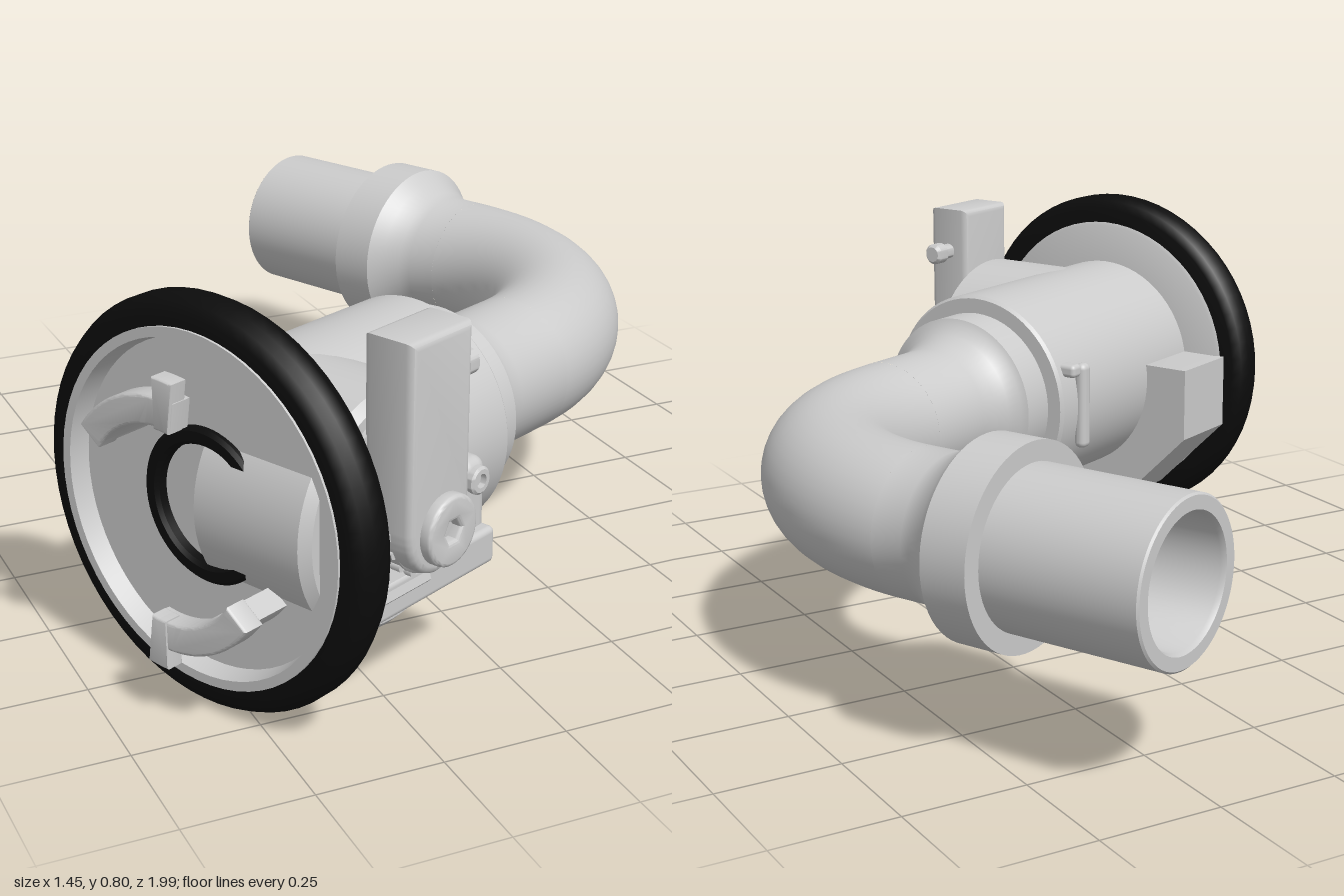
import * as THREE from 'three';
import { toCreasedNormals } from 'three/addons/utils/BufferGeometryUtils.js';
import { RoundedBoxGeometry } from 'three/addons/geometries/RoundedBoxGeometry.js';

const grey = new THREE.MeshStandardMaterial({ color: 0xcccccc });
const black = new THREE.MeshStandardMaterial({ color: 0x0c0c0c });

// The model is laid out along +x (inlet to elbow), the outlet leaves along -z.
export function createModel() {
  const model = new THREE.Group();
  const body = new THREE.Group();
  body.name = 'coupling';
  body.position.set(-0.535, 0.4, 0.62);
  body.rotation.y = 0.43;
  model.add(body);

  const add = (name, geometry, material = grey, x = 0, y = 0, z = 0) => {
    const mesh = new THREE.Mesh(geometry, material);
    mesh.name = name;
    mesh.position.set(x, y, z);
    body.add(mesh);
    return mesh;
  };
  // Turned part: points are [radius, distance along the axis]
  const lathe = (pts) => toCreasedNormals(
    new THREE.LatheGeometry(pts.map(([r, h]) => new THREE.Vector2(r, h)), 64), 0.6);
  const turnedX = (pts) => lathe(pts).rotateZ(-Math.PI / 2);
  const turnedBack = (pts) => lathe(pts).rotateX(-Math.PI / 2);
  const turnedFront = (pts) => lathe(pts).rotateX(Math.PI / 2);
  const extrude = (shape, depth, bevel = 0) => toCreasedNormals(new THREE.ExtrudeGeometry(shape, {
    depth, curveSegments: 20, bevelEnabled: bevel > 0,
    bevelSize: bevel, bevelThickness: bevel, bevelSegments: 3,
  }), 0.6);
  // Extrusion along x; the shape is drawn in (-z, y)
  const extrudeX = (shape, depth, bevel) => extrude(shape, depth, bevel).rotateY(Math.PI / 2);

  // Rubber ring around the inlet
  add('sealRing', turnedX([
    [0.345, -0.045], [0.37, -0.045], [0.39, -0.034], [0.4, -0.015], [0.4, 0.015],
    [0.39, 0.034], [0.37, 0.045], [0.3, 0.045], [0.3, 0.03], [0.345, 0.03], [0.345, -0.045],
  ].map(([r, h]) => [r, h])), black);

  // Inlet face: raised rim, recessed plate, central seal and valve disc
  add('inletFace', turnedX([
    [0.14, 0.05], [0.14, -0.01], [0.318, -0.01], [0.326, -0.05], [0.345, -0.05],
    [0.345, 0.04], [0.33, 0.05], [0.14, 0.05],
  ]));
  add('inletSeal', turnedX([
    [0.118, 0.03], [0.118, -0.018], [0.125, -0.025], [0.145, -0.025], [0.152, -0.018], [0.152, 0.03],
  ]), black);
  add('valveDisc', turnedX([[0, 0.0], [0.122, 0.0], [0.122, 0.04], [0, 0.04]]));

  // Two opposite hooked locking lugs
  const sector = (a, b, r0, r1) => {
    const s = new THREE.Shape();
    s.absarc(0, 0, r1, a, b, false);
    s.absarc(0, 0, r0, b, a, true);
    s.closePath();
    return s;
  };
  for (const turn of [0, Math.PI]) {
    const hook = add('lugHook', extrudeX(sector(0.63, 1.7, 0.195, 0.24), 0.036, 0.006), grey, -0.125);
    const post = add('lugPost', extrudeX(sector(0.63, 1.15, 0.19, 0.235), 0.11), grey, -0.11);
    const lip = add('lugLip', extrudeX(sector(1.55, 1.7, 0.19, 0.28), 0.03, 0.004), grey, -0.13);
    for (const m of [hook, post, lip]) m.rotation.x = turn;
  }

  // Main barrel
  add('barrel', turnedX([
    [0, 0.03], [0.24, 0.03], [0.24, 0.572], [0.234, 0.58], [0, 0.58],
  ]));
  add('barrelKey', new RoundedBoxGeometry(0.035, 0.2, 0.03, 3, 0.014), grey, 0.5, 0, -0.24);
  add('barrelNotch', new RoundedBoxGeometry(0.035, 0.03, 0.09, 3, 0.01), grey, 0.54, 0.09, -0.21);

  // Lower mounting plate behind the ring, with a bolt hole
  const plate = new THREE.Shape();
  [[0.346, 0.04], [0.2, 0.04], [-0.2, 0.0], [-0.3, -0.03], [-0.33, -0.13],
    [-0.17, -0.305], [0.17, -0.305], [0.346, -0.13]]
    .forEach(([x, y], i) => (i ? plate.lineTo(x, y) : plate.moveTo(x, y)));
  plate.closePath();
  const hole = new THREE.Path();
  hole.absarc(-0.19, -0.225, 0.034, 0, Math.PI * 2, true);
  plate.holes.push(hole);
  add('mountingPlate', extrudeX(plate, 0.19), grey, 0.035);

  // Valve housing on the side: round boss, ledge and screw
  add('valveHousing', turnedFront([
    [0, 0], [0.238, 0], [0.238, 0.25], [0.22, 0.268], [0.2, 0.268], [0.2, 0.28], [0, 0.28],
  ]), grey, 0.19);
  add('housingLedge', new RoundedBoxGeometry(0.38, 0.075, 0.33, 3, 0.012), grey, 0.235, -0.135, 0.16);
  add('housingEar', new RoundedBoxGeometry(0.07, 0.19, 0.2, 3, 0.025), grey, 0.395, -0.055, 0.2);
  add('earScrew', turnedFront([
    [0.014, -0.01], [0.028, -0.01], [0.028, 0.008], [0.023, 0.012], [0.014, 0.012], [0.014, -0.01],
  ]), grey, 0.395, 0, 0.3);

  // Handle with its pivot knob and stop pin
  const handle = new THREE.Shape();
  handle.moveTo(0.115, 0.355);
  handle.lineTo(0.255, 0.355);
  handle.lineTo(0.255, 0.05);
  handle.quadraticCurveTo(0.255, -0.07, 0.18, -0.07);
  handle.quadraticCurveTo(0.115, -0.06, 0.115, 0.02);
  handle.closePath();
  add('handle', extrude(handle, 0.08, 0.015), grey, 0, 0, 0.285);
  add('handlePin', turnedX([
    [0, 0], [0.018, 0], [0.018, 0.05], [0.025, 0.052], [0.025, 0.078], [0.018, 0.086], [0, 0.086],
  ]), grey, 0.25, 0.265, 0.325);
  add('knobBase', turnedFront([
    [0, 0], [0.1, 0], [0.1, 0.075], [0.085, 0.09], [0, 0.09],
  ]), grey, 0.205, 0, 0.265);
  for (let i = 0; i < 16; i++) {
    const a = i / 16 * Math.PI * 2;
    add('knobRib', new THREE.CylinderGeometry(0.009, 0.009, 0.06, 8).rotateX(Math.PI / 2),
      grey, 0.205 + Math.cos(a) * 0.1, Math.sin(a) * 0.1, 0.305);
  }
  const cap = new THREE.Shape();
  cap.absarc(0, 0, 0.06, 0, Math.PI * 2, false);
  const hex = new THREE.Path();
  for (let i = 0; i < 6; i++) {
    const a = -i * Math.PI / 3;
    if (i) hex.lineTo(Math.cos(a) * 0.032, Math.sin(a) * 0.032);
    else hex.moveTo(0.032, 0);
  }
  hex.closePath();
  cap.holes.push(hex);
  add('pivotBolt', extrude(cap, 0.02, 0.008), grey, 0.195, 0, 0.375);

  // Elbow pipe: collared inlet, quarter bend, collared outlet with a hollow spigot
  add('inletCollar', turnedX([
    [0, 0.575], [0.2, 0.575], [0.2, 0.655], [0.185, 0.662], [0.166, 0.685], [0.154, 0.715],
    [0.147, 0.75], [0.147, 0.908],
  ]));
  add('elbow', new THREE.TorusGeometry(0.48, 0.147, 40, 48, Math.PI / 2).rotateX(Math.PI / 2),
    grey, 0.908, 0, -0.48);
  add('outletSpigot', turnedBack([
    [0.147, 0.48], [0.147, 0.55], [0.155, 0.575], [0.175, 0.61], [0.2, 0.637], [0.2, 0.737],
    [0.16, 0.737], [0.16, 1.066], [0.156, 1.07], [0.13, 1.07], [0.125, 1.06], [0.125, 0.6], [0, 0.6],
  ]), grey, 1.388);

  return model;
}
